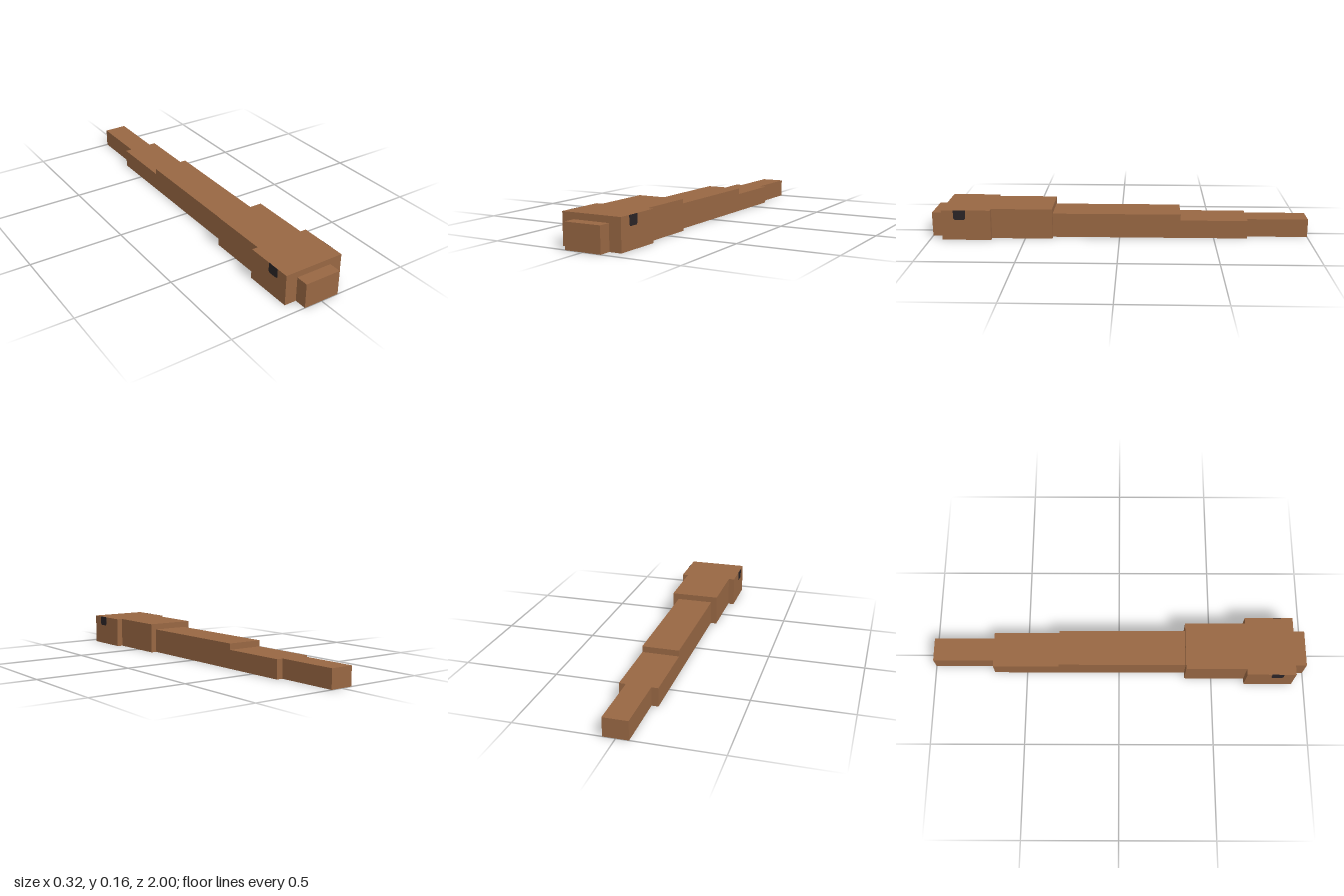
import * as THREE from 'three';

export function createModel() {
  const group = new THREE.Group();
  const mat = (name, color) => {
    const m = new THREE.MeshStandardMaterial({ color });
    m.name = name;
    return m;
  };
  const brown = mat('brown skin', 0x986743);
  const belly = mat('grey belly', 0x918271);
  const black = mat('black eye', 0x2a2427);

  // Box segment standing on y = 0, spanning zBack to zFront, with its own underside colour
  const segment = (name, halfWidth, height, zBack, zFront, underside) => {
    const geometry = new THREE.BoxGeometry(halfWidth * 2, height, zFront - zBack);
    const mesh = new THREE.Mesh(geometry, [brown, brown, brown, underside, brown, brown]);
    mesh.name = name;
    mesh.position.set(0, height / 2, (zBack + zFront) / 2);
    group.add(mesh);
  };

  segment('snout', 0.097, 0.129, 0.935, 1, brown);
  segment('head', 0.161, 0.161, 0.677, 0.935, brown);
  segment('neck', 0.129, 0.161, 0.355, 0.677, belly);
  segment('body', 0.097, 0.129, -0.323, 0.355, belly);
  segment('tailBase', 0.097, 0.097, -0.677, -0.323, belly);
  segment('tailTip', 0.0625, 0.097, -1, -0.677, belly);

  // Eyes: thin plates at the top edge of the head, with cut lower corners
  const outline = new THREE.Shape([
    [-0.032, 0.161], [-0.032, 0.118], [-0.024, 0.11],
    [0.024, 0.11], [0.032, 0.118], [0.032, 0.161],
  ].map(([x, y]) => new THREE.Vector2(x, y)));
  const eyeGeometry = new THREE.ExtrudeGeometry(outline, { depth: 0.002, bevelEnabled: false });
  for (const side of [1, -1]) {
    const eye = new THREE.Mesh(eyeGeometry, black);
    eye.name = side > 0 ? 'leftEye' : 'rightEye';
    eye.rotation.y = side * Math.PI / 2;
    eye.position.set(side * 0.16, 0, 0.84);
    group.add(eye);
  }
  return group;
}
